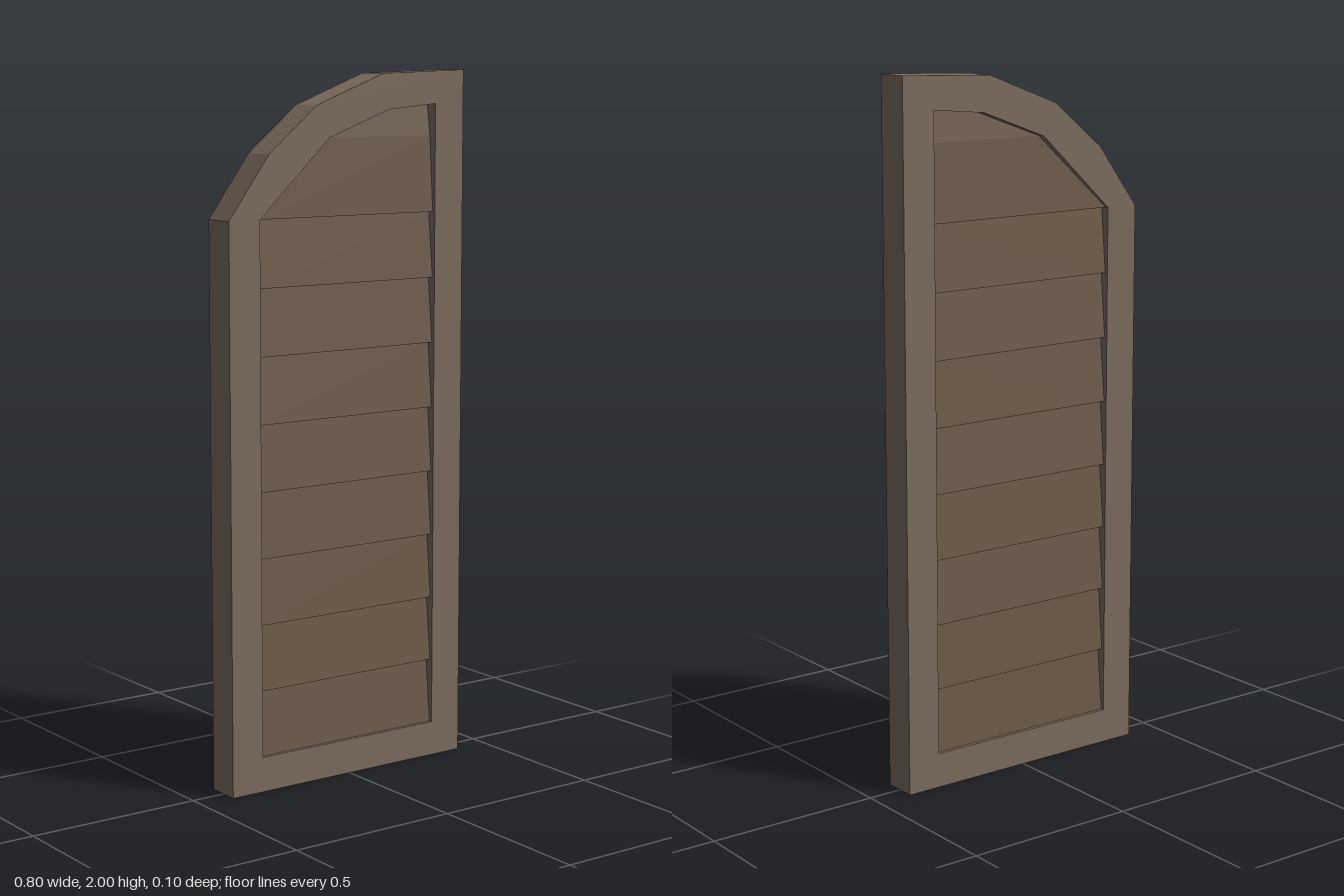
import * as THREE from 'three';

const frameMat = new THREE.MeshStandardMaterial({ color: 0x7d6d5e, flatShading: true });
const slatMat = new THREE.MeshStandardMaterial({ color: 0x6b5a48, flatShading: true });

const toPoints = (list) => list.map(([x, y]) => new THREE.Vector2(x, y));

function addMesh(group, name, geometry, material) {
  const mesh = new THREE.Mesh(geometry, material);
  mesh.name = name;
  group.add(mesh);
}

// Board whose front and back both lean inward from yLow to yHigh
function taperedBoard(outline, yLow, yHigh, halfLow, halfHigh) {
  const geo = new THREE.ExtrudeGeometry(new THREE.Shape(toPoints(outline)), { depth: 1, bevelEnabled: false });
  const pos = geo.attributes.position;
  for (let i = 0; i < pos.count; i++) {
    const t = (pos.getY(i) - yLow) / (yHigh - yLow);
    const half = THREE.MathUtils.lerp(halfLow, halfHigh, t);
    pos.setZ(i, pos.getZ(i) > 0.5 ? half : -half);
  }
  geo.computeVertexNormals();
  return geo;
}

export function createModel() {
  const group = new THREE.Group();
  group.name = 'archedShutter';

  // Frame with a quarter-arched top and one matching opening
  const outer = [[-0.4, 0], [0.4, 0], [0.4, 2], [0.115, 1.99], [-0.11, 1.905], [-0.27, 1.775], [-0.4, 1.6]];
  const inner = [[-0.3, 0.1], [-0.3, 1.6], [-0.07, 1.815], [0.135, 1.89], [0.3, 1.905], [0.3, 0.1]];
  const shape = new THREE.Shape(toPoints(outer));
  shape.holes.push(new THREE.Path(toPoints(inner)));
  const frame = new THREE.ExtrudeGeometry(shape, { depth: 0.1, bevelEnabled: false });
  frame.translate(0, 0, -0.05);
  addMesh(group, 'frame', frame, frameMat);

  // Overlapping slats, each thickest at its lower edge
  const count = 8, pitch = 1.5 / count;
  for (let i = 0; i < count; i++) {
    const y0 = 0.1 + i * pitch, y1 = y0 + pitch;
    const outline = [[-0.3, y0], [0.3, y0], [0.3, y1], [-0.3, y1]];
    addMesh(group, `slat${i + 1}`, taperedBoard(outline, y0, y1, 0.04, 0.022), slatMat);
  }

  // Panel filling the arch, in a lower and a more tilted upper part
  const lower = [[-0.3, 1.6], [0.3, 1.6], [0.3, 1.815], [-0.07, 1.815]];
  const upper = [[-0.07, 1.815], [0.3, 1.815], [0.3, 1.905], [0.135, 1.89]];
  addMesh(group, 'archPanelLower', taperedBoard(lower, 1.6, 1.815, 0.04, 0.025), slatMat);
  addMesh(group, 'archPanelUpper', taperedBoard(upper, 1.815, 1.905, 0.025, 0.012), slatMat);

  return group;
}
